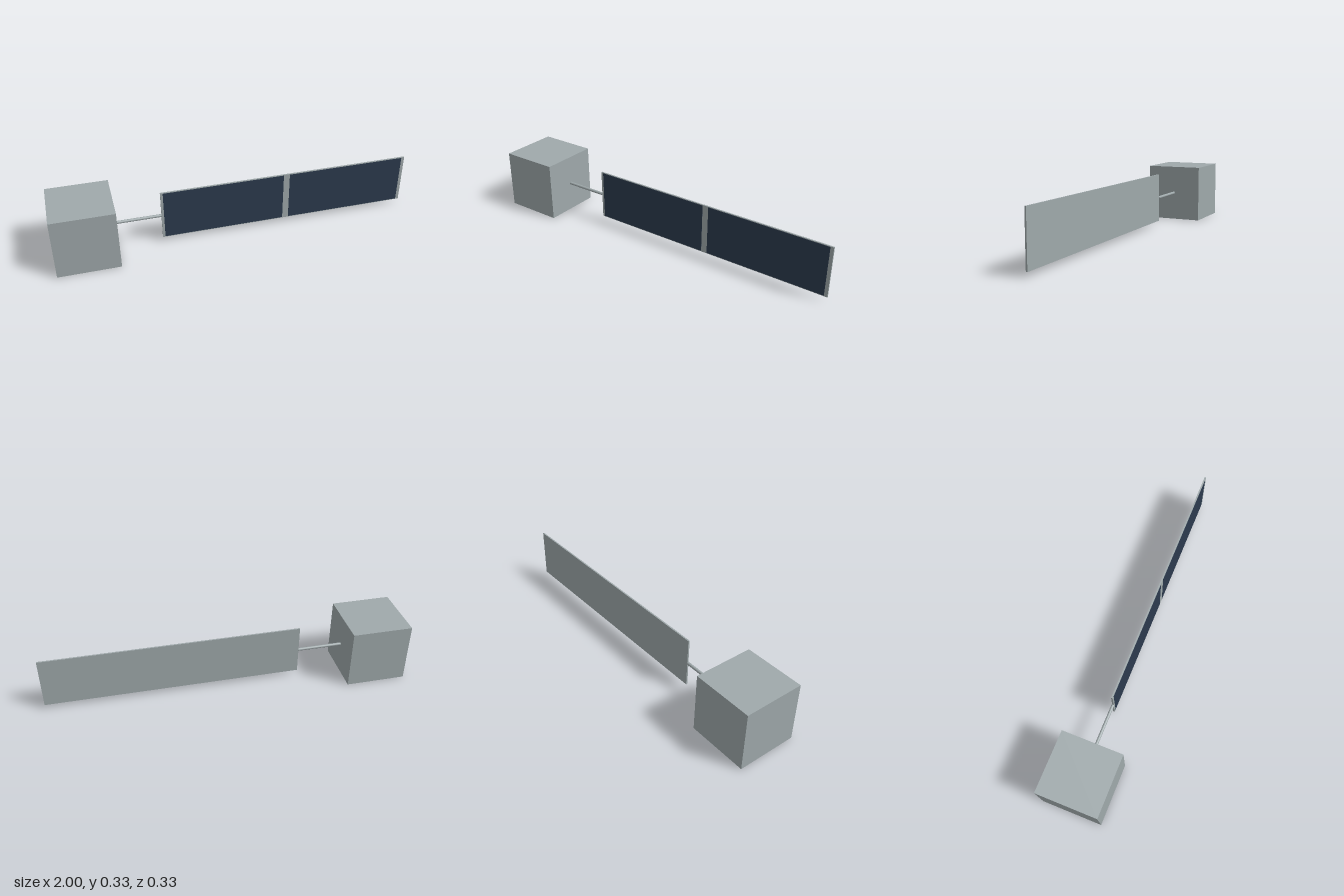
import * as THREE from 'three';

export function createModel() {
  const model = new THREE.Group();
  const metal = new THREE.MeshStandardMaterial({ name: 'grey metal', color: 0x9fa9ab });
  const cell = new THREE.MeshStandardMaterial({ name: 'dark blue cell', color: 0x2c3a4e });
  const midY = 0.1667;

  const add = (name, geometry, material, x, z = 0) => {
    const mesh = new THREE.Mesh(geometry, material);
    mesh.name = name;
    mesh.position.set(x, midY, z);
    model.add(mesh);
    return mesh;
  };

  // Cube body
  add('body', new THREE.BoxGeometry(0.3333, 0.3333, 0.3333), metal, -0.8333);

  // Boom joining the body to the panel
  const boom = new THREE.CylinderGeometry(0.0083, 0.0083, 0.25, 16).rotateZ(Math.PI / 2);
  add('boom', boom, metal, -0.5417);

  // Panel backing plate
  add('panel', new THREE.BoxGeometry(1.4167, 0.2833, 0.0083), metal, 0.2917);

  // Two solar cells on the front face only
  for (const side of [-1, 1]) {
    add(side < 0 ? 'innerSolarCell' : 'outerSolarCell',
      new THREE.BoxGeometry(0.675, 0.276, 0.0016), cell, 0.2895 + side * 0.355, 0.0042);
  }

  return model;
}
